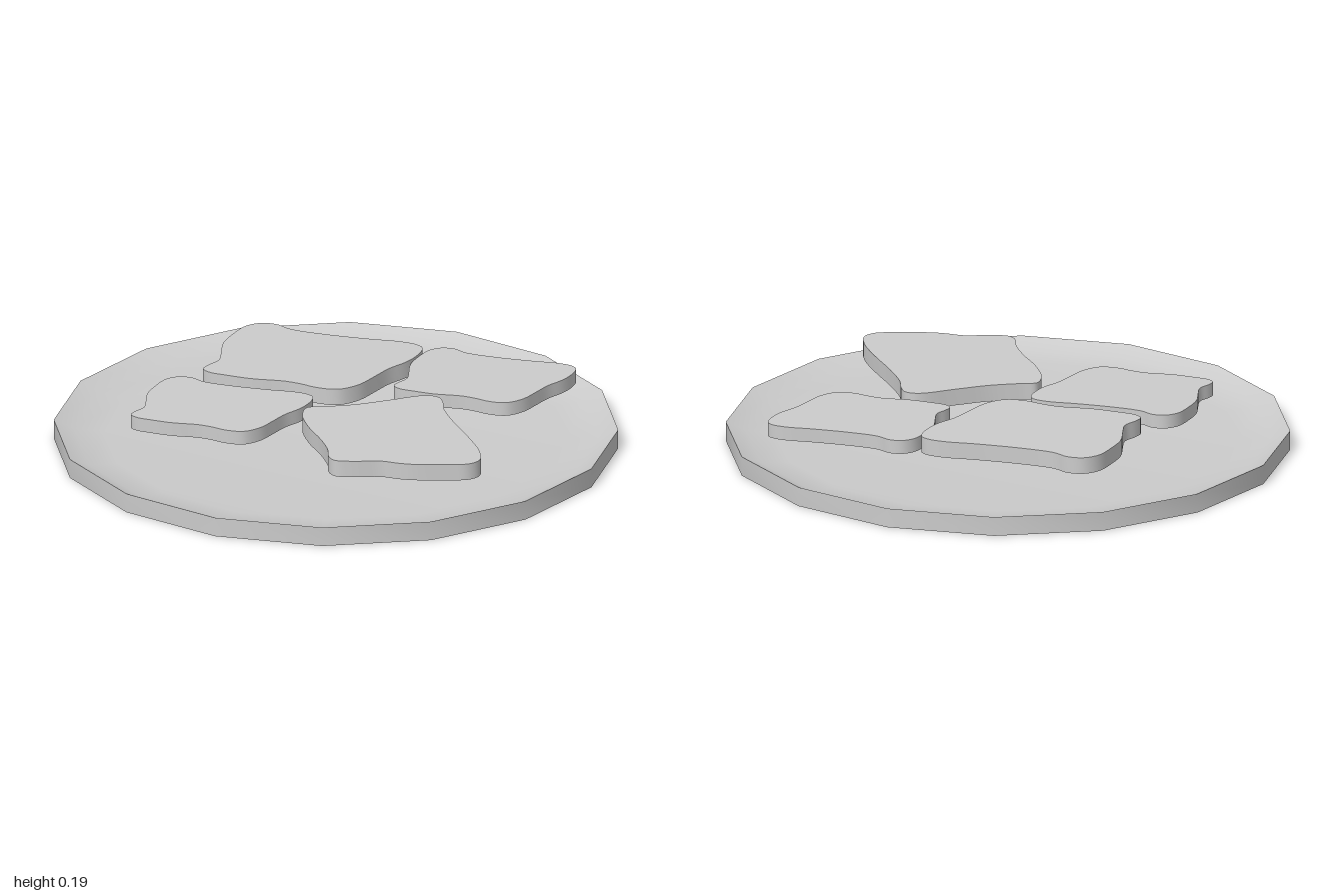
import * as THREE from 'three';
import { toCreasedNormals } from 'three/addons/utils/BufferGeometryUtils.js';

const grey = new THREE.MeshStandardMaterial({ color: 0xcccccc });

// Slice outlines seen from above, as [x, z] about the slice centre
const diamond = [
  [-0.06, -0.35], [-0.01, -0.32], [0.02, -0.26], [0.12, -0.17], [0.26, -0.07], [0.34, -0.02], [0.39, 0.03],
  [0.4, 0.07], [0.36, 0.13], [0.3, 0.18], [0.22, 0.22], [0.14, 0.28], [0.07, 0.33], [0, 0.35],
  [-0.04, 0.34], [-0.09, 0.3], [-0.12, 0.26], [-0.17, 0.21], [-0.27, 0.15], [-0.34, 0.09], [-0.39, 0.04],
  [-0.4, 0], [-0.37, -0.03], [-0.32, -0.06], [-0.29, -0.12], [-0.25, -0.21], [-0.19, -0.28], [-0.12, -0.34],
];
const upright = [
  [-0.19, -0.35], [-0.14, -0.34], [-0.02, -0.32], [0.11, -0.32], [0.24, -0.32], [0.28, -0.29],
  [0.28, -0.24], [0.26, -0.17], [0.25, -0.04], [0.25, 0.12], [0.24, 0.26], [0.21, 0.34],
  [0.16, 0.36], [0.09, 0.34], [-0.02, 0.3], [-0.07, 0.27], [-0.12, 0.23], [-0.21, 0.2],
  [-0.27, 0.17], [-0.28, 0.13], [-0.26, 0.06], [-0.25, -0.04], [-0.25, -0.17], [-0.23, -0.29],
];

// Flat slice with a smooth closed outline, lying on its base
function makeSlice(name, outline, x, y, z, scale) {
  const curve = new THREE.CatmullRomCurve3(outline.map(([px, pz]) => new THREE.Vector3(px, -pz, 0)), true);
  const points = curve.getPoints(96).slice(0, -1).map((p) => new THREE.Vector2(p.x, p.y));
  const geometry = new THREE.ExtrudeGeometry(new THREE.Shape(points), { depth: 0.06, bevelEnabled: false });
  geometry.rotateX(-Math.PI / 2);
  const slice = new THREE.Mesh(toCreasedNormals(geometry, Math.PI / 4), grey);
  slice.name = name;
  slice.position.set(x, y, z);
  slice.scale.setScalar(scale);
  return slice;
}

export function createModel() {
  const group = new THREE.Group();
  group.name = 'plateWithSlices';

  // Sixteen-sided plate: flat base, upright edge, shallow dished top
  const profile = [[0, 0], [1, 0], [1, 0.07], [0.93, 0.04], [0.82, 0.03], [0, 0.03]];
  const lathe = new THREE.LatheGeometry(profile.map(([r, y]) => new THREE.Vector2(r, y)), 16);
  const plate = new THREE.Mesh(toCreasedNormals(lathe, Math.PI / 5), grey);
  plate.name = 'plate';
  group.add(plate);

  // Four slices above the plate
  group.add(
    makeSlice('backSlice', diamond, 0.04, 0.127, -0.39, 1),
    makeSlice('rightSlice', diamond, -0.41, 0.128, -0.08, 0.83),
    makeSlice('leftSlice', diamond, 0.56, 0.128, -0.03, 0.83),
    makeSlice('frontSlice', upright, 0.05, 0.128, 0.44, 1),
  );
  return group;
}
